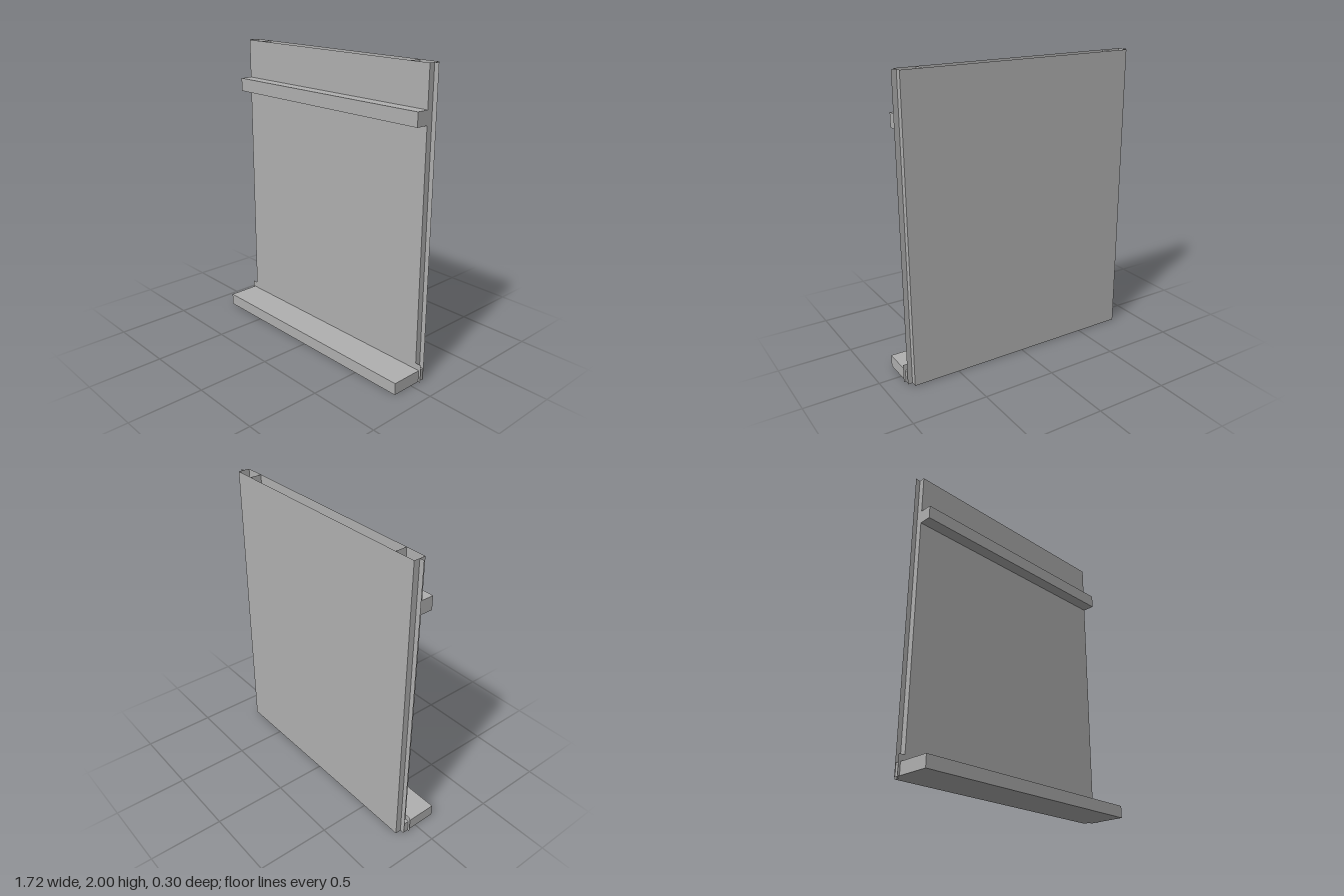
import * as THREE from 'three';

const W = 0.818;        // half width of the wall
const BACK = -0.15, MID = -0.11, FACE = -0.07;

export function createModel() {
  const model = new THREE.Group();
  const grey = new THREE.MeshStandardMaterial({ color: 0xb0b0b0, side: THREE.DoubleSide });
  grey.name = 'plain grey';

  const add = (name, geometry, x, y, z) => {
    const mesh = new THREE.Mesh(geometry, grey);
    mesh.name = name;
    mesh.position.set(x, y, z);
    model.add(mesh);
    return mesh;
  };
  // solid bar between two corners
  const bar = (name, x, y0, y1, z0, z1) =>
    add(name, new THREE.BoxGeometry(2 * x, y1 - y0, z1 - z0), 0, (y0 + y1) / 2, (z0 + z1) / 2);
  // thin upright sheet facing front
  const sheet = (name, x0, x1, y0, y1, z) =>
    add(name, new THREE.PlaneGeometry(Math.abs(x1 - x0), y1 - y0), (x0 + x1) / 2, (y0 + y1) / 2, z);
  // thin upright sheet facing sideways, spanning the wall depth
  const web = (name, x) => {
    const mesh = add(name, new THREE.PlaneGeometry(FACE - BACK, 2), x, 1, (FACE + BACK) / 2);
    mesh.rotation.y = Math.sign(x) * Math.PI / 2;
  };

  // hollow wall, open at the top
  sheet('frontSheet', -W, W, 0, 2, FACE);
  sheet('backSheet', -W, W, 0, 2, BACK).rotation.y = Math.PI;
  const floor = add('bottomSheet', new THREE.PlaneGeometry(2 * W, FACE - BACK), 0, 0, (FACE + BACK) / 2);
  floor.rotation.x = Math.PI / 2;

  // end walls, inner ribs, edge flanges and feet on both sides
  for (const s of [-1, 1]) {
    web('endWall', s * W);
    web('innerRib', s * 0.68);
    sheet('edgeFlange', s * W, s * 0.85, 0, 2, MID);
    sheet('footTab', s * W, s * 0.86, 0, 0.123, FACE);
  }

  // upper rail and bottom sill
  bar('upperRail', W, 1.648, 1.738, MID, 0.013);
  bar('bottomSill', 0.845, 0, 0.08, MID, 0.15);

  return model;
}
